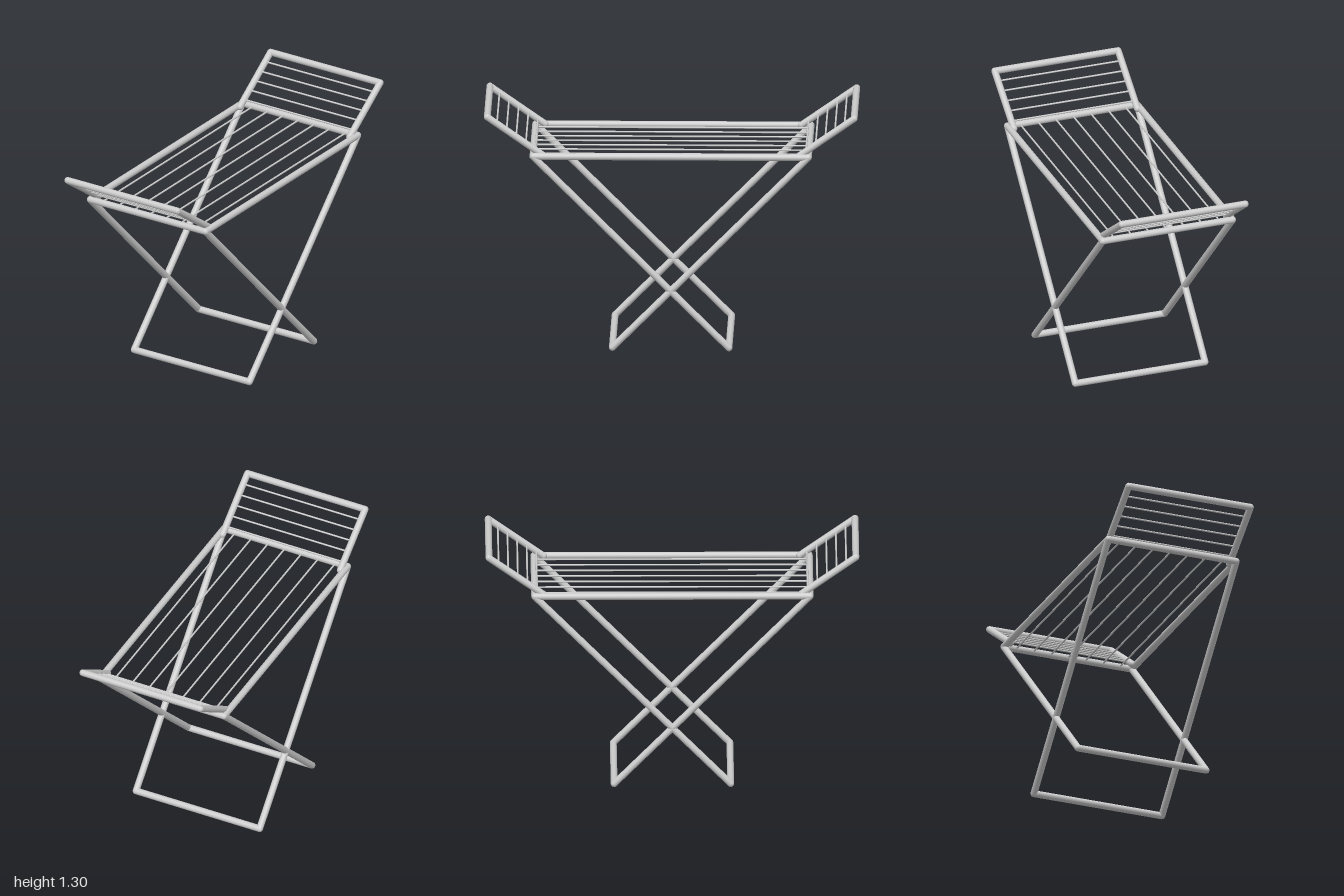
import * as THREE from 'three';

const R = 0.0185;      // frame tube radius
const WIRE = 0.005;    // hanging wire radius
const material = new THREE.MeshStandardMaterial({ color: 0xcccccc });

const V = (x, y, z) => new THREE.Vector3(x, y, z);

// Straight round bar between two points
function bar(name, a, b, radius, sides = 16) {
  const dir = b.clone().sub(a);
  const mesh = new THREE.Mesh(new THREE.CylinderGeometry(radius, radius, dir.length(), sides), material);
  mesh.name = name;
  mesh.position.copy(a).add(b).multiplyScalar(0.5);
  mesh.quaternion.setFromUnitVectors(V(0, 1, 0), dir.normalize());
  return mesh;
}

// Run of tubes with rounded joints at every point
function tubeFrame(name, points, closed = false) {
  const group = new THREE.Group();
  group.name = name;
  points.forEach((p, i) => {
    const joint = new THREE.Mesh(new THREE.SphereGeometry(R, 16, 12), material);
    joint.name = 'joint';
    joint.position.copy(p);
    group.add(joint);
    if (closed || i < points.length - 1) {
      group.add(bar('tube', p, points[(i + 1) % points.length], R));
    }
  });
  return group;
}

export function createModel() {
  const model = new THREE.Group();
  model.name = 'dryingRack';

  const halfW = 0.37, wingW = 0.352;
  const topY = 1.068, endZ = 0.737, footZ = 0.312;

  // Horizontal top frame
  model.add(tubeFrame('topFrame', [
    V(-halfW, topY, -endZ), V(halfW, topY, -endZ), V(halfW, topY, endZ), V(-halfW, topY, endZ),
  ], true));

  // Lengthwise wires
  const wires = new THREE.Group();
  wires.name = 'topWires';
  for (let i = -3; i <= 3; i++) {
    wires.add(bar('wire', V(i * 0.1, topY, -endZ), V(i * 0.1, topY, endZ), WIRE, 10));
  }
  model.add(wires);

  // Front and back halves: crossing leg frame and raised wing
  for (const s of [1, -1]) {
    const side = s > 0 ? 'front' : 'back';
    model.add(tubeFrame(side + 'Legs', [
      V(-halfW, topY, s * endZ), V(-halfW, R, -s * footZ),
      V(halfW, R, -s * footZ), V(halfW, topY, s * endZ),
    ]));

    const inner = { y: 1.072, z: 0.685 }, outer = { y: 1.279, z: 0.9815 };
    const wing = tubeFrame(side + 'Wing', [
      V(-wingW, inner.y, s * inner.z), V(-wingW, outer.y, s * outer.z),
      V(wingW, outer.y, s * outer.z), V(wingW, inner.y, s * inner.z),
    ]);
    // Crosswise wires of the wing
    for (let i = 1; i <= 5; i++) {
      const z = outer.z - i * 0.0515;
      const y = outer.y - (outer.z - z) * (outer.y - inner.y) / (outer.z - inner.z);
      wing.add(bar('wingWire', V(-wingW, y, s * z), V(wingW, y, s * z), WIRE, 10));
    }
    model.add(wing);
  }
  return model;
}
